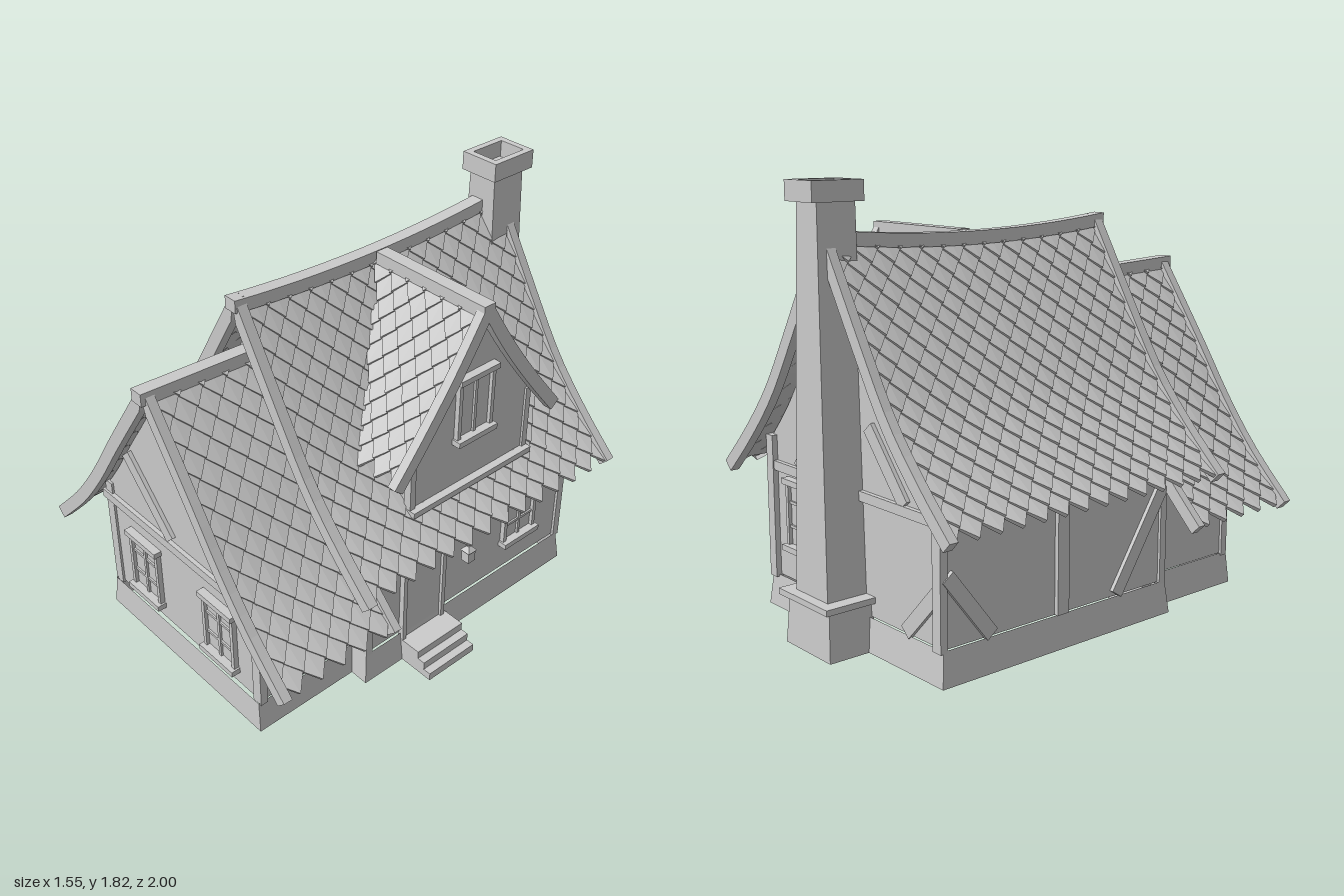
import * as THREE from 'three';

const mat = new THREE.MeshStandardMaterial({ color: 0xcccccc, flatShading: true, side: THREE.DoubleSide });
const V = (x, y) => new THREE.Vector2(x, y);

function add(parent, name, geo, x = 0, y = 0, z = 0) {
  const m = new THREE.Mesh(geo, mat);
  m.name = name;
  m.position.set(x, y, z);
  parent.add(m);
  return m;
}

// Box given by its lowest and highest corners
function box(parent, name, x0, x1, y0, y1, z0, z1) {
  return add(parent, name, new THREE.BoxGeometry(x1 - x0, y1 - y0, z1 - z0),
    (x0 + x1) / 2, (y0 + y1) / 2, (z0 + z1) / 2);
}

// Four-sided tapered block standing on y
function frustum(parent, name, x, y, z, w, h, d, top, open = false) {
  const g = new THREE.CylinderGeometry(Math.SQRT1_2 * top, Math.SQRT1_2, 1, 4, 1, open);
  g.rotateY(Math.PI / 4).scale(w, h, d);
  return add(parent, name, g, x, y + h / 2, z);
}

// Group whose local +z faces out of a wall
function face(parent, name, x, y, z, turn = 0) {
  const g = new THREE.Group();
  g.name = name;
  g.position.set(x, y, z);
  g.rotation.y = turn;
  parent.add(g);
  return g;
}

// Slanted timber in a wall plane
function brace(parent, x1, y1, x2, y2, width = 0.06) {
  const m = add(parent, 'brace', new THREE.BoxGeometry(Math.hypot(x2 - x1, y2 - y1), width, 0.02),
    (x1 + x2) / 2, (y1 + y2) / 2, 0.002);
  m.rotation.z = Math.atan2(y2 - y1, x2 - x1);
}

function windowUnit(parent, name, x, y, z, turn, w, h, cols, rows) {
  const g = face(parent, name, x, y, z, turn), a = w / 2, t = 0.018;
  box(g, 'pane', -a, a, 0, h, -0.01, 0.004);
  for (const s of [-1, 1]) box(g, 'frameSide', s * (a - t / 2) - t / 2, s * (a - t / 2) + t / 2, 0, h, -0.01, 0.02);
  for (let i = 1; i < cols; i++) box(g, 'mullion', -a + w * i / cols - 0.007, -a + w * i / cols + 0.007, 0, h, -0.01, 0.014);
  for (let i = 1; i < rows; i++) box(g, 'glazingBar', -a, a, h * i / rows - 0.006, h * i / rows + 0.006, -0.01, 0.012);
  box(g, 'sill', -a - 0.008, a + 0.008, 0, 0.025, -0.01, 0.04);
  box(g, 'lintel', -a - 0.008, a + 0.008, h - 0.025, h, -0.01, 0.034);
}

// Roof profiles, half section from ridge to eave
const mainCurve = new THREE.SplineCurve([V(0.015, 1.635), V(0.265, 1.22), V(0.42, 0.98), V(0.59, 0.785), V(0.765, 0.615)]);
const wingCurve = new THREE.SplineCurve([V(0.015, 1.42), V(0.26, 1.065), V(0.42, 0.825), V(0.58, 0.62), V(0.775, 0.42)]);
const dormerCurve = new THREE.SplineCurve([V(0.015, 1.6), V(0.16, 1.375), V(0.31, 1.17), V(0.47, 0.97)]);

// Half width of a profile at a height, and height at a half width
function widthAt(curve, y) {
  return curve.getPoints(60).reduce((a, b) => Math.abs(b.y - y) < Math.abs(a.y - y) ? b : a).x;
}
function heightAt(curve, x) {
  return curve.getPoints(60).reduce((a, b) => Math.abs(b.x - x) < Math.abs(a.x - x) ? b : a).y;
}

// One roof slope: a backing sheet and staggered pointed tiles
function slope(parent, curve, side, z0, z1, sag, start) {
  const len = curve.getLength(), rows = Math.round(len / 0.0615), p = len / rows;
  const cols = Math.round((z1 - z0) / 0.103), w = (z1 - z0) / cols;
  const at = (z, s, lift) => {
    const u = Math.min(1, Math.max(0, s / len));
    const c = curve.getPointAt(u), t = curve.getTangentAt(u), o = lift - 0.03;
    return [side * (c.x - t.y * o), c.y + t.x * o + sag(z) * (1 - u), z];
  };
  const build = (name, pos) => {
    const g = new THREE.BufferGeometry();
    g.setAttribute('position', new THREE.Float32BufferAttribute(pos, 3));
    g.computeVertexNormals();
    add(parent, name, g);
  };
  const tri = (out, a, b, c) => side > 0 ? out.push(...a, ...b, ...c) : out.push(...a, ...c, ...b);
  const from = s => start ? Math.max(z0, start(at(0, s, 0)[1]) - 0.03) : z0;

  const sheet = [], n = 12, end = len - p * 0.9;
  for (let i = 0; i < 20; i++) for (let j = 0; j < n; j++) {
    const sa = end * i / 20, sb = end * (i + 1) / 20, za = from(sa), zb = from(sb);
    const a = at(za + (z1 - za) * j / n, sa, 0), b = at(za + (z1 - za) * (j + 1) / n, sa, 0);
    const c = at(zb + (z1 - zb) * (j + 1) / n, sb, 0), d = at(zb + (z1 - zb) * j / n, sb, 0);
    tri(sheet, a, b, c);
    tri(sheet, a, c, d);
  }
  build('roofSheet', sheet);

  const tiles = [];
  for (let r = 0; r < rows; r++) for (let k = 0; k <= cols; k++) {
    const s = r * p, z = z0 + (k + (r % 2 ? 0.5 : 0)) * w;
    if (z > z1 + 0.001 || z < from(s) - 0.02) continue;
    const zl = Math.min(z1, z + w / 2), zr = Math.max(z0, z - w / 2);
    const T = at(z, s - p, 0.003), A = at(zl, s, 0.01), B = at(z, s + p, 0.022), C = at(zr, s, 0.01);
    const A2 = at(zl, s, -0.002), B2 = at(z, s + p, 0.002), C2 = at(zr, s, -0.002);
    tri(tiles, T, A, B);
    tri(tiles, T, B, C);
    tri(tiles, B, A, A2);
    tri(tiles, B, A2, B2);
    tri(tiles, C, B, B2);
    tri(tiles, C, B2, C2);
  }
  build('roofTiles', tiles);
}

// Curved board along both slopes of a gable
function bargeboards(parent, curve, z0, z1, width = 0.055) {
  const outer = [], inner = [];
  for (let i = 0; i <= 14; i++) {
    const c = curve.getPointAt(i / 14), t = curve.getTangentAt(i / 14);
    outer.push(c);
    inner.unshift(V(Math.max(0, c.x + t.y * width), c.y - t.x * width));
  }
  for (const s of [1, -1]) {
    const pts = [...outer, ...inner].map(q => V(s * q.x, q.y));
    add(parent, 'bargeboard', new THREE.ExtrudeGeometry(new THREE.Shape(pts), { depth: z1 - z0, bevelEnabled: false }), 0, 0, z0);
  }
}

function roof(parent, name, curve, z0, z1, sag, boards, ridge, start) {
  const g = face(parent, name, 0, 0, 0);
  for (const s of [1, -1]) slope(g, curve, s, z0, z1, sag, start);
  for (const [a, b] of boards) bargeboards(g, curve, a, b);
  const [r0, r1] = ridge, top = curve.getPoint(0).y;
  const beam = new THREE.BoxGeometry(0.06, 0.055, r1 - r0, 1, 1, 14).translate(0, top - 0.025, (r0 + r1) / 2);
  const q = beam.attributes.position;
  for (let i = 0; i < q.count; i++) q.setY(i, q.getY(i) + sag(q.getZ(i)));
  add(g, 'ridgeBeam', beam);
  return g;
}

// Gable wall under a roof profile
function gable(curve, w, y0) {
  const half = curve.getPoints(30).filter(q => q.x < w).map(q => V(q.x, q.y - 0.06));
  half.push(V(w, heightAt(curve, w) - 0.06), V(w, y0));
  return new THREE.Shape([...half, ...half.map(q => V(-q.x, q.y)).reverse()]);
}

function shell(parent, name, curve, w, zBack, zFront, closeBack) {
  const g = face(parent, name, 0, 0, 0), h = heightAt(curve, w) - 0.05 - 0.14;
  add(g, 'frontGable', new THREE.ShapeGeometry(gable(curve, w, 0.14)), 0, 0, zFront);
  if (closeBack) add(g, 'backGable', new THREE.ShapeGeometry(gable(curve, w, 0.14)).rotateY(Math.PI), 0, 0, zBack);
  for (const s of [1, -1]) {
    add(g, 'sideWall', new THREE.PlaneGeometry(zFront - zBack, h).rotateY(s * Math.PI / 2), s * w, 0.14 + h / 2, (zBack + zFront) / 2);
    // Corner posts
    for (const z of closeBack ? [zFront, zBack] : [zFront])
      box(g, 'cornerPost', s * (w - 0.012) - 0.024, s * (w - 0.012) + 0.024, 0.13, 0.14 + h, z - 0.024, z + 0.01);
  }
}

export function createModel() {
  const house = new THREE.Group();
  house.name = 'cottage';

  // Foundations and walls
  frustum(house, 'mainFoundation', 0, 0, -0.195, 1.2, 0.14, 1.21, 0.975, true);
  frustum(house, 'wingFoundation', 0, 0, 0.62, 1.03, 0.14, 0.56, 0.97, true);
  shell(house, 'mainWalls', mainCurve, 0.575, -0.775, 0.385, true);
  shell(house, 'wingWalls', wingCurve, 0.495, 0.385, 0.875, false);

  // Roofs
  roof(house, 'mainRoof', mainCurve, -0.86, 0.51, z => 0.04 * (((z + 0.17) / 0.71) ** 2 - 1),
    [[-0.895, -0.855], [0.505, 0.55]], [-0.8, 0.56]);
  roof(house, 'wingRoof', wingCurve, 0.4, 0.95, z => (z - 1) * 0.045,
    [[0.385, 0.42], [0.94, 0.98]], [0.4, 1]);

  // Dormer, built facing +z and turned toward +x
  const dormer = face(house, 'dormer', 0, 0, -0.17, Math.PI / 2);
  roof(dormer, 'dormerRoof', dormerCurve, 0.03, 0.6, () => 0, [[0.59, 0.63]], [0.04, 0.63], y => widthAt(mainCurve, y));
  add(dormer, 'dormerWall', new THREE.ExtrudeGeometry(gable(dormerCurve, 0.33, 0.755), { depth: 0.2, bevelEnabled: false }), 0, 0, 0.375);
  box(dormer, 'dormerSill', -0.34, 0.34, 0.752, 0.778, 0.55, 0.61);
  for (const s of [1, -1]) box(dormer, 'dormerPost', s * 0.325 - 0.014, s * 0.325 + 0.014, 0.77, 1.07, 0.55, 0.585);
  windowUnit(dormer, 'dormerWindow', 0, 0.985, 0.577, 0, 0.2, 0.31, 2, 1);

  // Windows
  for (const x of [-0.247, 0.257]) windowUnit(house, 'frontWindow', x, 0.2, 0.877, 0, 0.2, 0.31, 2, 3);
  windowUnit(house, 'wingSideWindow', 0.497, 0.2, 0.64, Math.PI / 2, 0.2, 0.32, 2, 3);
  windowUnit(house, 'mainSideWindow', 0.577, 0.275, -0.505, Math.PI / 2, 0.2, 0.31, 2, 3);
  windowUnit(house, 'backWindow', 0.35, 0.275, -0.777, Math.PI, 0.2, 0.31, 2, 3);

  // Timber framing
  const front = face(house, 'frontTimbers', 0, 0, 0.88);
  box(front, 'crossBeam', -0.52, 0.52, 0.585, 0.625, -0.01, 0.014);
  brace(front, -0.31, 0.92, -0.04, 0.64);
  const back = face(house, 'backTimbers', 0, 0, -0.78, Math.PI);
  box(back, 'crossBeam', -0.57, 0.57, 0.6, 0.64, -0.01, 0.014);
  brace(back, -0.36, 0.64, -0.14, 0.9);
  brace(back, 0.36, 0.64, 0.14, 0.9);
  brace(back, 0.56, 0.36, 0.36, 0.15);
  const left = face(house, 'leftTimbers', -0.58, 0, -0.195, -Math.PI / 2);
  box(left, 'post', -0.03, 0.03, 0.14, 0.74, -0.01, 0.014);
  brace(left, -0.57, 0.42, -0.36, 0.15);
  brace(left, 0.3, 0.15, 0.57, 0.56);

  // Door and steps
  const door = face(house, 'door', 0.58, 0, 0.078, Math.PI / 2);
  box(door, 'doorLeaf', -0.105, 0.105, 0.1, 0.56, -0.01, 0.006);
  for (const s of [1, -1]) box(door, 'doorJamb', s * 0.112 - 0.01, s * 0.112 + 0.01, 0.1, 0.57, -0.01, 0.02);
  box(door, 'doorLintel', -0.123, 0.123, 0.56, 0.583, -0.01, 0.03);
  for (let i = 0; i < 3; i++) box(house, 'step', 0.57, 0.765 - i * 0.036, i * 0.036, (i + 1) * 0.036, -0.06, 0.2);

  // Lantern on its bracket
  box(house, 'lanternBody', 0.628, 0.668, 0.4, 0.455, -0.142, -0.102);
  frustum(house, 'lanternCap', 0.648, 0.455, -0.122, 0.05, 0.02, 0.05, 0.3);
  box(house, 'lanternHook', 0.644, 0.652, 0.47, 0.505, -0.126, -0.118);
  box(house, 'lanternArm', 0.57, 0.656, 0.492, 0.502, -0.126, -0.118);

  // Chimney with a hollow cap
  const chimney = face(house, 'chimney', 0.02, 0, 0);
  frustum(chimney, 'chimneyBase', 0, 0, -0.87, 0.31, 0.2, 0.22, 0.9);
  box(chimney, 'chimneyLedge', -0.17, 0.17, 0.2, 0.225, -1, -0.77);
  const shaft = new THREE.BoxGeometry(0.22, 1.53, 0.195);
  const sp = shaft.attributes.position;
  for (let i = 0; i < sp.count; i++) if (sp.getY(i) > 0) {
    sp.setX(i, sp.getX(i) * 0.62);
    if (sp.getZ(i) < 0) sp.setZ(i, sp.getZ(i) + 0.025);
  }
  add(chimney, 'chimneyShaft', shaft, 0, 0.985, -0.858);
  const rect = (P, w, d) => new P([V(-w, -d), V(w, -d), V(w, d), V(-w, d)]);
  const cap = rect(THREE.Shape, 0.092, 0.115);
  cap.holes.push(rect(THREE.Path, 0.062, 0.085));
  add(chimney, 'chimneyCap', new THREE.ExtrudeGeometry(cap, { depth: 0.08, bevelEnabled: false }).rotateX(-Math.PI / 2), 0, 1.74, -0.85);

  return house;
}
